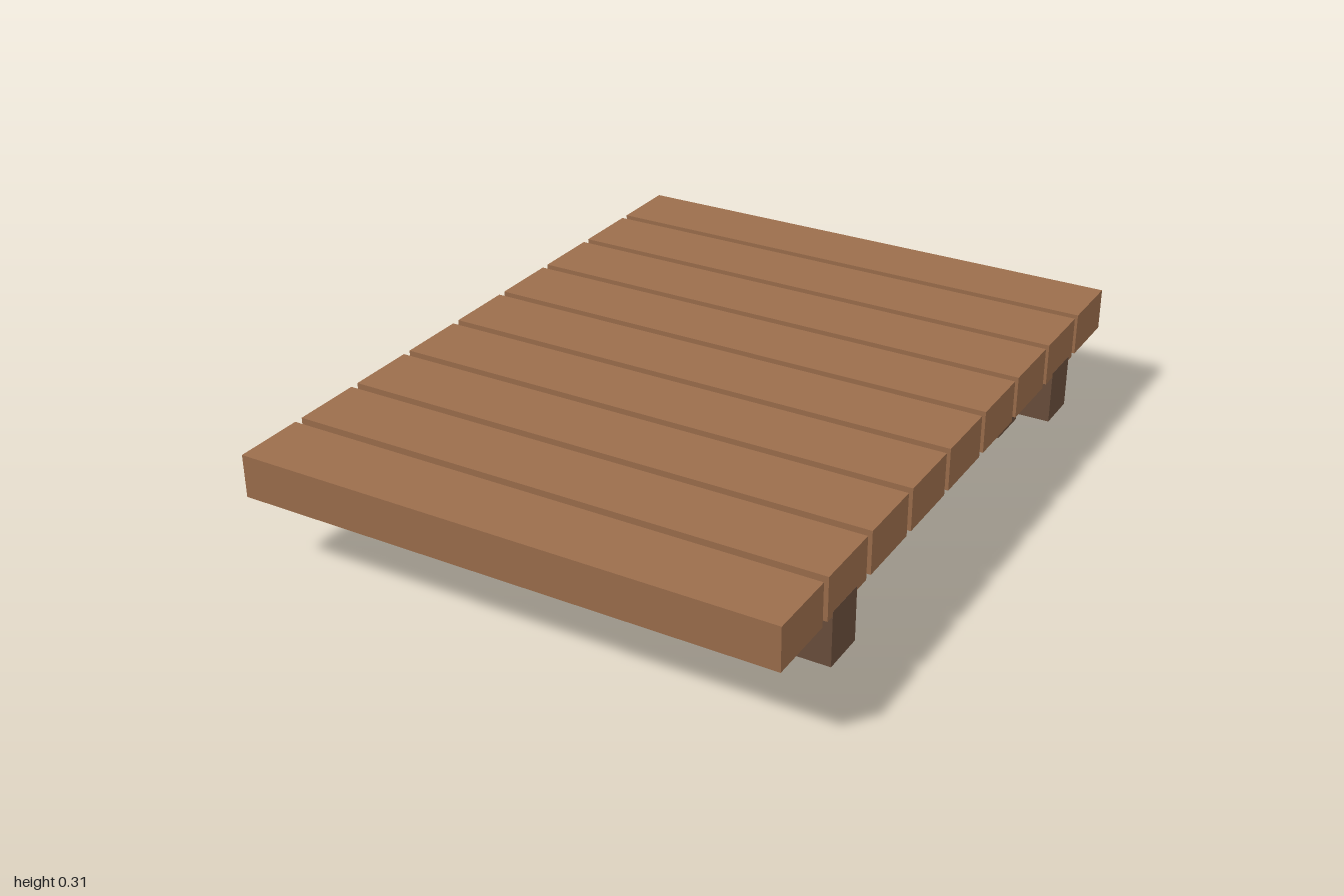
import * as THREE from 'three';

export function createModel() {
  const model = new THREE.Group();
  const plankWood = new THREE.MeshStandardMaterial({ color: 0x9c6e4c });
  const frameWood = new THREE.MeshStandardMaterial({ color: 0x6a4e3c });

  // Box given by its size, its centre in x and z, and its bottom height
  function addBox(name, material, [w, h, d], x, bottom, z) {
    const mesh = new THREE.Mesh(new THREE.BoxGeometry(w, h, d), material);
    mesh.name = name;
    mesh.position.set(x, bottom + h / 2, z);
    model.add(mesh);
  }

  // Nine deck planks with narrow gaps
  for (let i = 0; i < 9; i++) {
    addBox('plank', plankWood, [1.51, 0.12, 0.2], 0, 0.185, (i - 4) * 0.225);
  }

  // A cross beam near each end, with two short legs on its inner side
  for (const end of [-1, 1]) {
    addBox('crossBeam', frameWood, [1.511, 0.152, 0.125], 0, 0.045, end * 0.687);
    for (const side of [-1, 1]) {
      addBox('leg', frameWood, [0.135, 0.243, 0.135], side * 0.574, 0, end * 0.607);
    }
  }

  return model;
}
